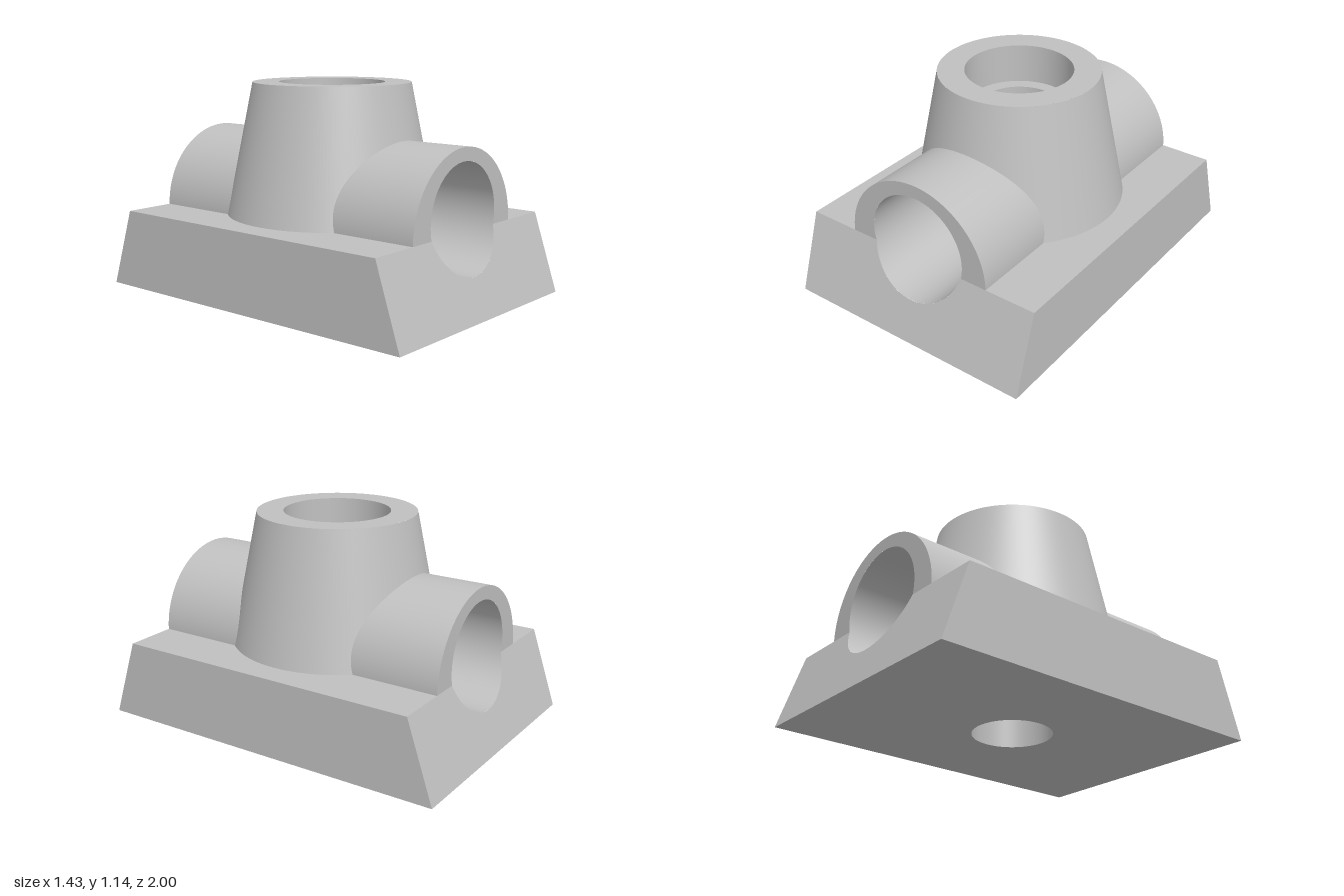
import * as THREE from 'three';

// Dimensions in seventh units; the finished group is scaled down by 7.
const BASE = { halfWidth: 5, height: 3, bottomZ: 7, topZ: 6 };
const CONE = { bottomR: 4, topR: 3, top: 8 };
const SADDLE_R = 3;
const BORE = { r: 2, y: 3.5 };
const HOLE_R = 1.5, RECESS_R = 2, RECESS_Y = 6.5;

const V = (x, y, z) => new THREE.Vector3(x, y, z);
const range = (n, a, b) => Array.from({ length: n + 1 }, (_, i) => a + (b - a) * i / n);

// Ruled surface between curves a(t) and b(t); normal(p) sets the shading and facing.
function ruled(ts, a, b, normal) {
  const pos = [], nor = [], idx = [];
  for (const t of ts) {
    const p = a(t), n = normal(p).normalize();
    pos.push(...p.toArray(), ...b(t).toArray());
    nor.push(...n.toArray(), ...n.toArray());
  }
  const at = i => V().fromArray(pos, i * 3);
  const tri = (i, j, k) => {
    const face = at(j).sub(at(i)).cross(at(k).sub(at(i)));
    if (face.dot(V().fromArray(nor, i * 3)) >= 0) idx.push(i, j, k);
    else idx.push(i, k, j);
  };
  for (let i = 0; i < ts.length - 1; i++) {
    const q = i * 2;
    tri(q, q + 1, q + 2);
    tri(q + 3, q + 2, q + 1);
  }
  const g = new THREE.BufferGeometry();
  g.setAttribute('position', new THREE.Float32BufferAttribute(pos, 3));
  g.setAttribute('normal', new THREE.Float32BufferAttribute(nor, 3));
  g.setIndex(idx);
  return g;
}

export function createModel() {
  const grey = new THREE.MeshStandardMaterial({ color: 0xc0c0c0 });
  grey.name = 'grey';
  const add = (parent, name, geometry) => {
    const m = new THREE.Mesh(geometry, grey);
    m.name = name;
    parent.add(m);
  };

  const circle = range(96, 0, Math.PI * 2);
  const coneNormal = p => V(p.x, 0, p.z).normalize().setY((CONE.bottomR - CONE.topR) / (CONE.top - BASE.height));
  const coneTop = phi => V(CONE.topR * Math.cos(phi), CONE.top, CONE.topR * Math.sin(phi));
  const inward = p => V(-p.x, 0, -p.z);
  const up = () => V(0, 1, 0);

  // Everything that repeats under a half turn: the front end and the left side
  const half = new THREE.Group();
  half.name = 'bodyHalf';

  const { halfWidth: W, height: H, bottomZ, topZ } = BASE;
  add(half, 'baseSide', ruled([-1, 1], t => V(W, 0, t * bottomZ), t => V(W, H, t * topZ), () => V(1, 0, 0)));
  add(half, 'baseTop', ruled([-1, 1], t => V(SADDLE_R, H, t * topZ), t => V(W, H, t * topZ), up));

  // Sloping front of the base, notched by the bore
  const cut = Math.asin((BORE.y - H) / BORE.r);
  const cutX = BORE.r * Math.cos(cut);
  const frontShape = new THREE.Shape();
  frontShape.moveTo(-W, 0).lineTo(W, 0).lineTo(W, H).lineTo(cutX, H);
  frontShape.absarc(0, BORE.y, BORE.r, -cut, cut - Math.PI, true);
  frontShape.lineTo(-W, H);
  const front = new THREE.ShapeGeometry(frontShape, 64);
  const fp = front.attributes.position;
  for (let i = 0; i < fp.count; i++) fp.setZ(i, bottomZ - fp.getY(i) * (bottomZ - topZ) / H);
  front.computeVertexNormals();
  add(half, 'baseFront', front);

  // Upright end face of the half-round housing
  const endShape = new THREE.Shape();
  endShape.moveTo(SADDLE_R, H);
  endShape.absarc(0, H, SADDLE_R, 0, Math.PI, false);
  endShape.lineTo(-cutX, H);
  endShape.absarc(0, BORE.y, BORE.r, Math.PI + cut, -cut, true);
  add(half, 'housingEnd', new THREE.ShapeGeometry(endShape, 64).translate(0, 0, topZ));

  // Half-round housing, ending where it meets the cone
  const saddle = t => {
    const x = SADDLE_R * Math.cos(t), y = H + SADDLE_R * Math.sin(t);
    const r = CONE.bottomR - (y - H) * (CONE.bottomR - CONE.topR) / (CONE.top - H);
    return V(x, y, Math.sqrt(r * r - x * x));
  };
  const arch = range(72, 0, Math.PI);
  add(half, 'housing', ruled(arch, saddle, t => saddle(t).setZ(topZ), p => V(p.x, p.y - H, 0)));

  // Cone above the housing, and cone down to the base at the side
  add(half, 'coneFront', ruled(arch, saddle, t => {
    const p = saddle(t);
    return coneTop(Math.atan2(p.z, p.x));
  }, coneNormal));
  const phi0 = Math.acos(SADDLE_R / CONE.bottomR);
  add(half, 'coneSide', ruled(range(40, -phi0, phi0),
    t => V(CONE.bottomR * Math.cos(t), H, CONE.bottomR * Math.sin(t)), coneTop, coneNormal));

  // Horizontal bore, opened above and below by the vertical hole
  const edge = Math.asin(HOLE_R / BORE.r);
  const holeSpan = range(32, -Math.PI / 2, Math.PI / 2).map(t => Math.asin(HOLE_R / BORE.r * Math.sin(t)));
  const sideSpan = range(32, edge, Math.PI - edge);
  const angles = [...holeSpan, ...sideSpan.slice(1),
    ...holeSpan.slice(1).map(a => a + Math.PI), ...sideSpan.slice(1).map(a => a + Math.PI)];
  const borePoint = a => V(BORE.r * Math.sin(a), BORE.y + BORE.r * Math.cos(a), 0);
  add(half, 'bore', ruled(angles,
    a => {
      const p = borePoint(a);
      return p.setZ(Math.sqrt(Math.max(0, HOLE_R ** 2 - p.x ** 2)));
    },
    a => {
      const p = borePoint(a);
      return p.setZ(p.y >= H ? topZ : bottomZ - p.y * (bottomZ - topZ) / H);
    },
    p => V(-p.x, BORE.y - p.y, 0)));

  const otherHalf = half.clone();
  otherHalf.rotation.y = Math.PI;

  // Parts on the vertical axis
  const body = new THREE.Group();
  body.name = 'body';
  body.add(half, otherHalf);

  const ring = (r, y) => t => V(r * Math.cos(t), y, r * Math.sin(t));
  const holeMeetsBore = side => t => {
    const p = ring(HOLE_R, 0)(t);
    return p.setY(BORE.y + side * Math.sqrt(BORE.r ** 2 - p.x ** 2));
  };
  add(body, 'topRim', ruled(circle, ring(RECESS_R, CONE.top), ring(CONE.topR, CONE.top), up));
  add(body, 'recessWall', ruled(circle, ring(RECESS_R, CONE.top), ring(RECESS_R, RECESS_Y), inward));
  add(body, 'recessFloor', ruled(circle, ring(HOLE_R, RECESS_Y), ring(RECESS_R, RECESS_Y), up));
  add(body, 'upperHole', ruled(circle, ring(HOLE_R, RECESS_Y), holeMeetsBore(1), inward));
  add(body, 'lowerHole', ruled(circle, ring(HOLE_R, 0), holeMeetsBore(-1), inward));

  // Underside with the round hole
  const under = new THREE.Shape();
  under.moveTo(-W, -bottomZ).lineTo(W, -bottomZ).lineTo(W, bottomZ).lineTo(-W, bottomZ);
  under.holes.push(new THREE.Path().absarc(0, 0, HOLE_R, 0, Math.PI * 2, true));
  add(body, 'underside', new THREE.ShapeGeometry(under, 48).rotateX(Math.PI / 2));

  body.scale.setScalar(1 / 7);
  const model = new THREE.Group();
  model.name = 'bearingBlock';
  model.add(body);
  return model;
}
